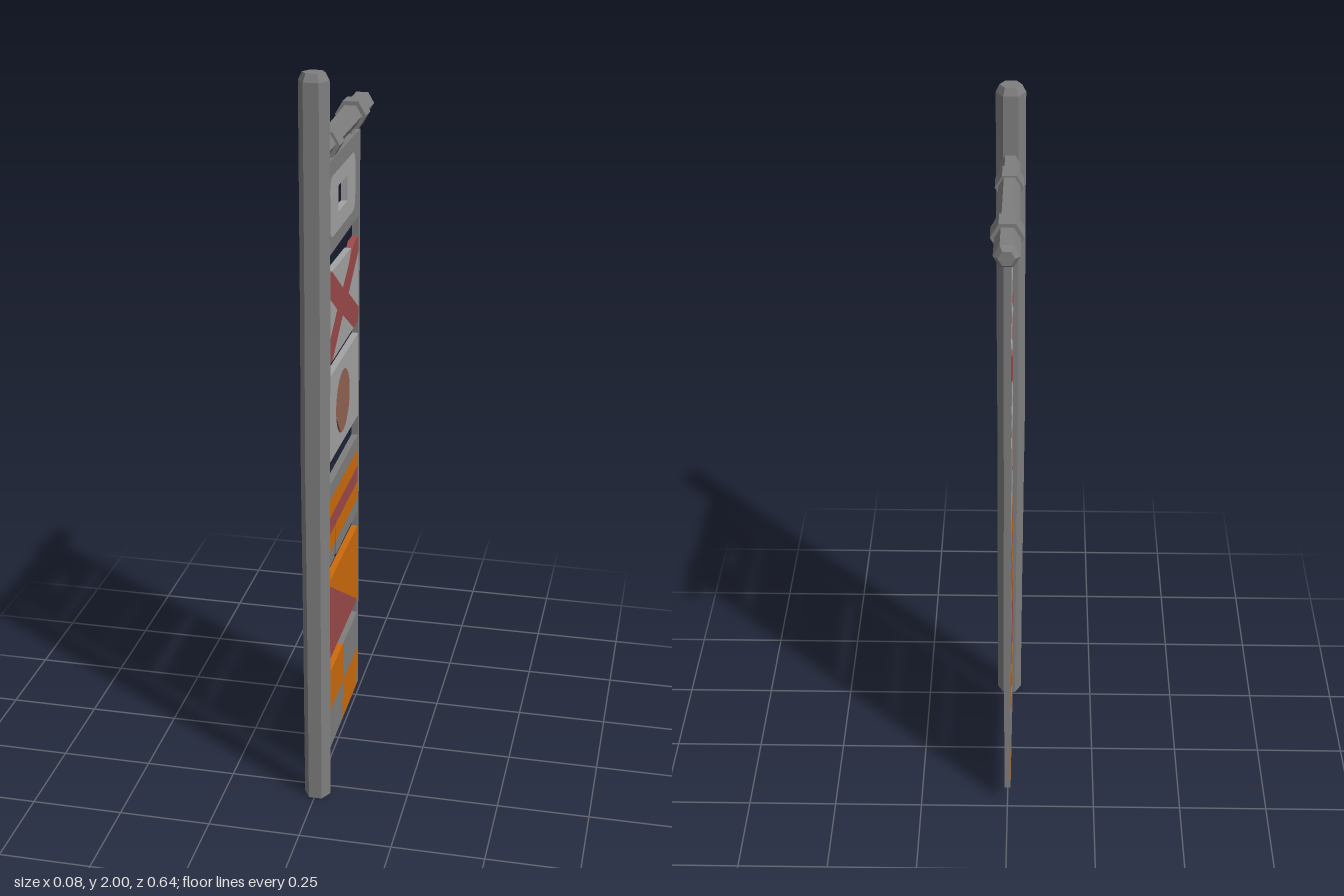
import * as THREE from 'three';

const material = (name, color, side = THREE.FrontSide) => {
  const m = new THREE.MeshStandardMaterial({ color, side });
  m.name = name;
  return m;
};

// Faceted hexagonal bar through rings of [x, y, z, radius], along y or z
function hexBar(rings, alongZ) {
  const pos = [], idx = [], n = 6;
  for (const [x, y, z, r] of rings) {
    for (let i = 0; i < n; i++) {
      const a = i / n * Math.PI * 2, c = Math.cos(a) * r, s = Math.sin(a) * r;
      pos.push(x + c, alongZ ? y + s : y, alongZ ? z : z - s);
    }
  }
  for (let k = 0; k < rings.length - 1; k++) {
    for (let i = 0; i < n; i++) {
      const a = k * n + i, b = k * n + (i + 1) % n;
      idx.push(a, b, b + n, a, b + n, a + n);
    }
  }
  const last = (rings.length - 1) * n;
  for (let i = 1; i < n - 1; i++) idx.push(0, i + 1, i, last, last + i, last + i + 1);
  const g = new THREE.BufferGeometry();
  g.setAttribute('position', new THREE.Float32BufferAttribute(pos, 3));
  g.setIndex(idx);
  const flat = g.toNonIndexed();
  flat.computeVertexNormals();
  return flat;
}

export function createModel() {
  const model = new THREE.Group();
  model.name = 'bannerPost';
  const gray = material('gray', 0x7e7e7e);
  const light = material('lightGray', 0xa3a3a3);
  const red = material('red', 0x9c4a4a);
  const orange = material('orange', 0xcc6b0c);
  const brown = material('brown', 0x926553);

  const add = (name, geometry, mat, parent = model) => {
    const mesh = new THREE.Mesh(geometry, mat);
    mesh.name = name;
    parent.add(mesh);
    return mesh;
  };

  // Pole, slightly crooked, with chamfered top
  add('pole', hexBar([
    [0.003, 0, 0.287, 0.036], [0.001, 0.45, 0.281, 0.037], [-0.002, 1.0, 0.274, 0.039],
    [-0.001, 1.35, 0.272, 0.039], [-0.001, 1.98, 0.274, 0.039], [-0.001, 2, 0.274, 0.029],
  ]), gray);

  // Cross arm, thicker toward its free end
  add('arm', hexBar([
    [0, 1.797, 0.27, 0.026], [0, 1.806, -0.302, 0.033], [0, 1.808, -0.32, 0.021],
  ].reverse(), true), gray);

  // Collars on the arm, each with a hanging hook
  for (const [z0, z1, y, r] of [[0.097, 0.155, 1.796, 0.037], [-0.205, -0.147, 1.805, 0.042]]) {
    const hanger = new THREE.Group();
    hanger.name = 'hanger';
    model.add(hanger);
    add('collar', hexBar([[0, y, z0, r], [0, y, z1, r]], true), gray, hanger);
    const z = (z0 + z1) / 2;
    add('hookStem', new THREE.CylinderGeometry(0.005, 0.005, 0.05, 6), gray, hanger).position.set(0, 1.757, z);
    const eye = add('hookEye', new THREE.TorusGeometry(0.008, 0.004, 5, 8), gray, hanger);
    eye.position.set(0, 1.748, z);
    eye.rotation.y = Math.PI / 2;
  }

  // Cloth: outlines are [u, y] with u = -z, extruded across x
  const T = 0.018, L = -0.18, R = 0.217;
  const banner = new THREE.Group();
  banner.name = 'banner';
  model.add(banner);
  const path = (pts) => pts.map(([u, y]) => new THREE.Vector2(u, y));
  const cloth = (name, mat, pts, hole) => {
    const shape = new THREE.Shape(path(pts));
    if (hole) shape.holes.push(new THREE.Path(path(hole)));
    const g = new THREE.ExtrudeGeometry(shape, { depth: T, bevelEnabled: false });
    g.translate(0, 0, -T / 2).rotateY(Math.PI / 2);
    return add(name, g, mat, banner);
  };
  const rect = (a, b, c, d) => [[a, c], [b, c], [b, d], [a, d]];

  // Side borders
  cloth('frontBorder', gray, rect(-0.204, L, 0.058, 1.75));
  cloth('rearBorder', gray, rect(R, 0.235, 0.058, 1.75));

  // Top panel with an inset plate and a window
  const c = 0.03, [a0, a1, b0, b1] = [-0.14, 0.17, 1.547, 1.707];
  const plate = [];
  for (const [u, y, q] of [[a1 - c, b1 - c, 0], [a0 + c, b1 - c, 1], [a0 + c, b0 + c, 2], [a1 - c, b0 + c, 3]]) {
    for (let i = 0; i <= 3; i++) {
      const a = (q + i / 3) * Math.PI / 2;
      plate.push([u + c * Math.cos(a), y + c * Math.sin(a)]);
    }
  }
  cloth('topPanel', gray, [[L, 1.506], [R, 1.515], [R, 1.75], [L, 1.75]], plate);
  cloth('topPlate', light, plate, rect(-0.042, 0.069, 1.595, 1.664));

  // Cross panel with a torn upper edge
  const top = 1.457, bot = 1.213, mid = 1.335;
  const n = [0.013, 1.373], s = [0.013, 1.297], w = [-0.057, mid], e = [0.087, mid];
  cloth('cross', red, [
    [L, top], [-0.117, top], n, [0.16, top], [R, top], [R, 1.415], e, [R, 1.255],
    [R, bot], [0.155, bot], s, [-0.117, bot], [L, bot], [L, 1.255], w, [L, 1.415],
  ]);
  cloth('crossFieldTop', light, [[-0.117, top], n, [0.092, 1.418], [0.117, 1.452]]);
  cloth('crossFieldBottom', light, [[-0.117, bot], [0.155, bot], s]);
  cloth('crossFieldFront', light, [[L, 1.255], w, [L, 1.415]]);
  cloth('crossFieldRear', light, [[R, 1.255], [R, 1.415], e]);

  // Disc panel with a tear along the disc's lower edge
  const circle = (skipTear) => {
    const pts = [];
    for (let i = 0; i < 36; i++) {
      if (skipTear && i > 19 && i < 25) continue;
      const a = i / 36 * Math.PI * 2;
      pts.push([0.016 + 0.088 * Math.cos(a), 1.052 + 0.088 * Math.sin(a)]);
    }
    return pts;
  };
  cloth('discPanel', light, [[L, 0.937], [R, 0.93], [R, 1.177], [L, 1.177]], circle(false));
  cloth('disc', brown, circle(true));

  // Striped panel, slit upward from its lower edge
  const tip = 0.75, slit = -0.085;
  const cut = (y, w) => slit + w * Math.max(0, (tip - y) / 0.12);
  const levels = [0.631, 0.673, 0.726, 0.774, 0.827, 0.87];
  [gray, orange, red, orange, gray].forEach((mat, i) => {
    const lo = levels[i], hi = levels[i + 1];
    const y = Math.min(Math.max(tip, lo + 0.001), hi - 0.001);
    for (const [edge, k] of [[L, -0.008], [R, 0.012]]) {
      cloth('stripe', mat, [[edge, lo], [cut(lo, k), lo], [cut(y, k), y], [cut(hi, k), hi], [edge, hi]]);
    }
  });

  // Diagonally split panel
  cloth('lowerTriangle', red, [[L, 0.345], [R, 0.345], [L, 0.588]]);
  cloth('upperTriangle', orange, [[R, 0.345], [R, 0.584], [L, 0.588]]);

  // Checkered panel
  const us = [L, 0.016, R], ys = [0.058, 0.18, 0.302];
  for (let i = 0; i < 2; i++) {
    for (let j = 0; j < 2; j++) {
      cloth('check', i === j ? gray : orange, rect(us[i], us[i + 1], ys[j], ys[j + 1]));
    }
  }
  return model;
}
